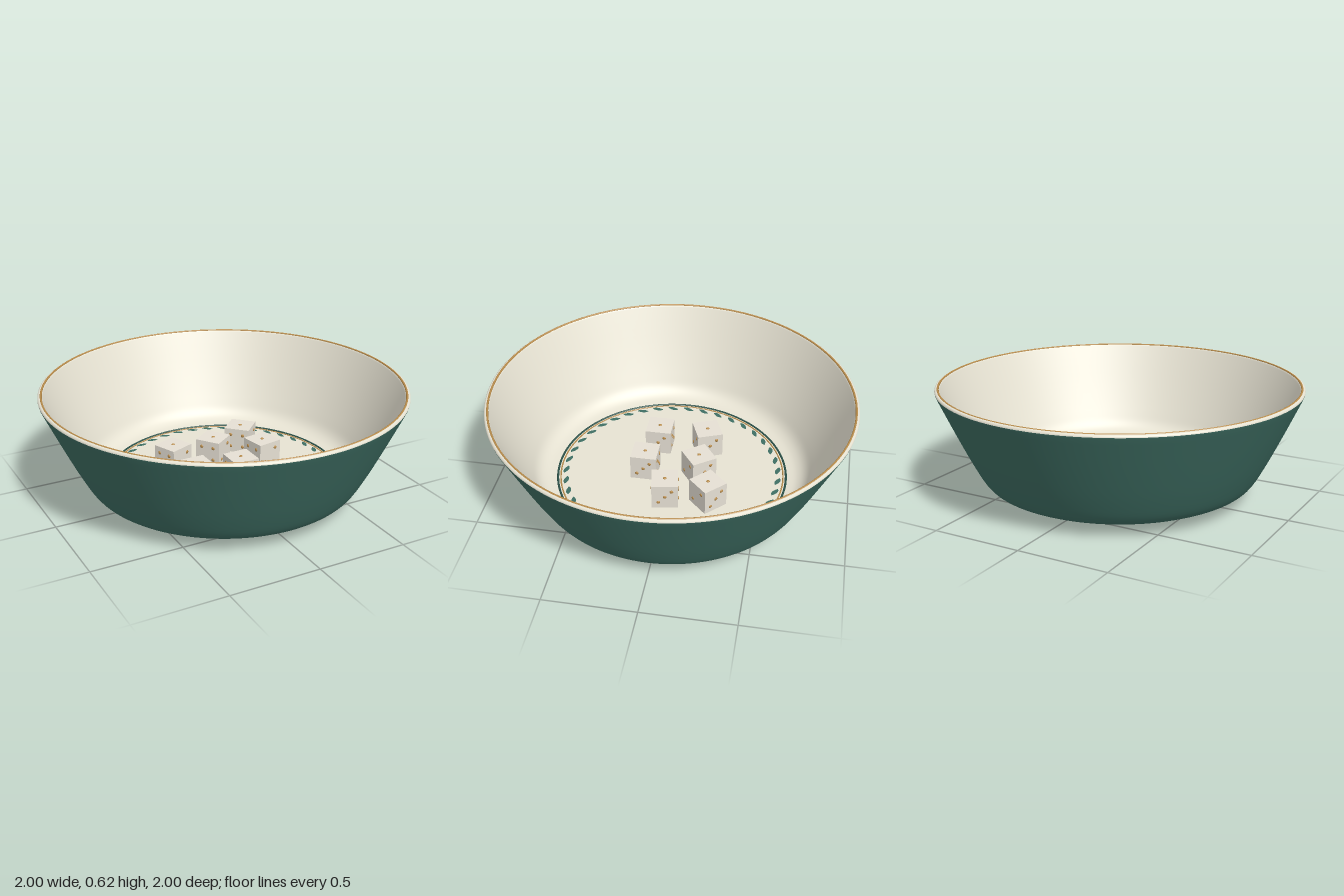
import * as THREE from 'three';

const mat = (name, color) => Object.assign(new THREE.MeshStandardMaterial({ color }), { name });
const V = (x, y) => new THREE.Vector2(x, y);

export function createModel() {
  const model = new THREE.Group();
  model.name = 'diceBowl';

  const green = mat('glazeGreen', 0x3f6f64);
  const darkGreen = mat('darkGreen', 0x2c5249);
  const cream = mat('cream', 0xe8e4d4);
  const ivory = mat('ivory', 0xe6e0d4);
  const gold = mat('gold', 0xb98d4c);

  const add = (parent, name, geometry, material) => {
    const mesh = new THREE.Mesh(geometry, material);
    mesh.name = name;
    parent.add(mesh);
    return mesh;
  };
  const curve = (pairs, n) => new THREE.SplineCurve(pairs.map(([x, y]) => V(x, y))).getPoints(n);
  const lathe = (points) => new THREE.LatheGeometry(points, 128);

  const floorY = 0.102;

  // Outer shell, from the underside up to the rim
  add(model, 'outerShell', lathe([
    V(0, 0.034), V(0.45, 0.034),
    ...curve([[0.57, 0.036], [0.63, 0.042], [0.69, 0.06], [0.75, 0.1], [0.815, 0.21], [0.9, 0.385], [0.998, 0.598]], 28),
    V(1, 0.606),
  ]), green);

  // Foot ring
  add(model, 'footRing', lathe([
    V(0.47, 0.036), V(0.472, 0.008), V(0.477, 0.001), V(0.485, 0),
    V(0.495, 0), V(0.502, 0.004), V(0.504, 0.012), V(0.502, 0.037),
  ]), green);

  // Rounded lip
  add(model, 'lip', lathe([
    V(1, 0.606), V(0.999, 0.613), V(0.993, 0.618), V(0.984, 0.619), V(0.976, 0.615), V(0.972, 0.606),
  ]), cream);

  // Inner wall and floor
  add(model, 'innerBowl', lathe([
    ...curve([[0.972, 0.606], [0.875, 0.395], [0.795, 0.23], [0.752, 0.152], [0.705, 0.115], [0.65, floorY]], 28),
    V(0.55, floorY), V(0.3, floorY), V(0, floorY),
  ]), cream);

  // Painted and gilded bands
  const band = (name, radius, y, tube, material) => {
    const mesh = add(model, name, new THREE.TorusGeometry(radius, tube, 8, 128), material);
    mesh.rotation.x = Math.PI / 2;
    mesh.position.y = y;
  };
  band('rimBand', 0.982, 0.616, 0.006, gold);
  band('floorBand', 0.645, floorY, 0.006, darkGreen);
  band('innerFloorBand', 0.629, floorY, 0.004, gold);

  // Wreath of leaves around the floor
  const leafShape = new THREE.Shape();
  leafShape.moveTo(-0.034, 0);
  leafShape.quadraticCurveTo(-0.012, 0.027, 0.034, 0);
  leafShape.quadraticCurveTo(0.012, -0.027, -0.034, 0);
  const leafGeometry = new THREE.ShapeGeometry(leafShape, 8).rotateX(-Math.PI / 2);
  const wreath = new THREE.Group();
  wreath.name = 'leafWreath';
  model.add(wreath);
  for (let i = 0; i < 40; i++) {
    const a = (i / 40) * Math.PI * 2;
    const leaf = add(wreath, 'leaf', leafGeometry, green);
    leaf.position.set(Math.sin(a) * 0.6, floorY + 0.003, Math.cos(a) * 0.6);
    leaf.rotation.y = a - 0.3;
  }

  // Dice with domed pips
  const size = 0.145, half = size / 2, p = 0.036;
  const dieGeometry = new THREE.BoxGeometry(size, size, size);
  const pipGeometry = new THREE.SphereGeometry(0.01, 12, 8).scale(1, 1, 0.5);
  const corners = [[-p, -p], [p, p], [-p, p], [p, -p]];
  const pips = (n) => [
    ...(n % 2 ? [[0, 0]] : []),
    ...corners.slice(0, n - (n % 2) > 4 ? 4 : n - (n % 2)),
    ...(n === 6 ? [[-p, 0], [p, 0]] : []),
  ];
  // pip count, x turn, y turn
  const faces = [
    [1, -Math.PI / 2, 0], [6, Math.PI / 2, 0], [2, 0, 0],
    [5, 0, Math.PI], [3, 0, Math.PI / 2], [4, 0, -Math.PI / 2],
  ];
  // x, z, turn
  [
    [-0.235, -0.168, 0.38], [0.012, -0.155, 0.62], [0.233, -0.237, 0.78],
    [0.247, -0.003, 0.17], [-0.222, 0.107, 0], [0.027, 0.147, 0],
  ].forEach(([x, z, turn]) => {
    const die = new THREE.Group();
    die.name = 'die';
    die.position.set(x, floorY + half, z);
    die.rotation.y = turn;
    add(die, 'dieBody', dieGeometry, ivory);
    for (const [count, rx, ry] of faces) {
      const face = new THREE.Group();
      face.name = 'dieFace';
      face.rotation.set(rx, ry, 0);
      for (const [px, py] of pips(count)) add(face, 'pip', pipGeometry, gold).position.set(px, py, half);
      die.add(face);
    }
    model.add(die);
  });

  return model;
}
